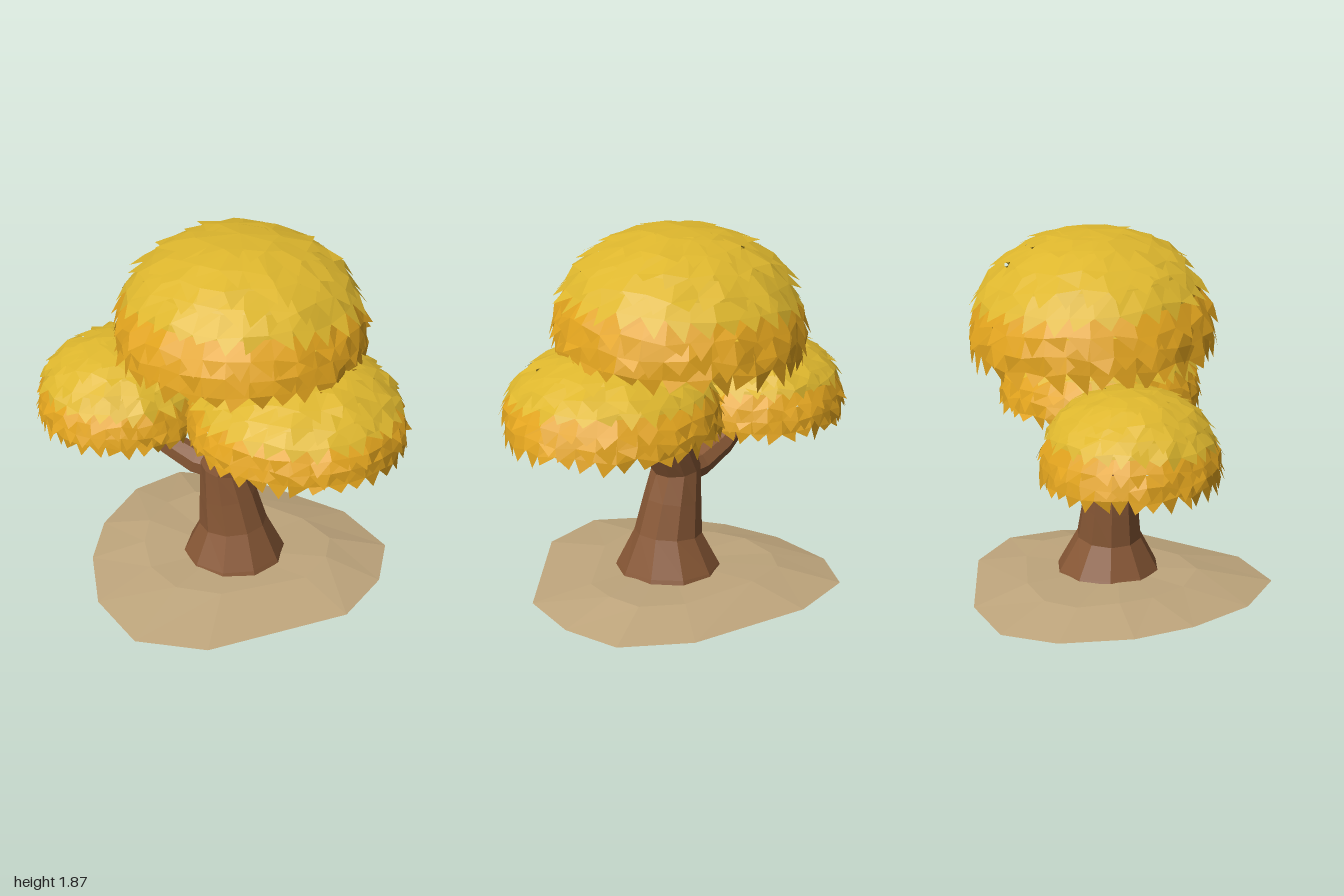
import * as THREE from 'three';

const flat = (name, color, side = THREE.FrontSide) => {
  const m = new THREE.MeshStandardMaterial({ color, flatShading: true, side });
  m.name = name;
  return m;
};

// Small seeded random generator, returns -1..1
function seeded(seed) {
  let s = seed;
  return () => {
    s = (s * 16807) % 2147483647;
    return (s / 2147483647) * 2 - 1;
  };
}

// Unindexed geometry from a list of triangle corners
function facets(points) {
  const g = new THREE.BufferGeometry().setFromPoints(points);
  g.computeVertexNormals();
  return g;
}

function part(name, geometry, material) {
  const m = new THREE.Mesh(geometry, material);
  m.name = name;
  return m;
}

// Faceted limb through sections [x, y, z, radius across, radius in z]
function limb(sections, sides) {
  const centres = sections.map(s => new THREE.Vector3(s[0], s[1], s[2]));
  const zAxis = new THREE.Vector3(0, 0, 1);
  const rings = sections.map((s, i) => {
    const next = centres[Math.min(i + 1, centres.length - 1)];
    const across = next.clone().sub(centres[Math.max(i - 1, 0)]).cross(zAxis).normalize();
    return Array.from({ length: sides }, (_, j) => {
      const a = ((j + 0.3) / sides) * Math.PI * 2;
      return centres[i].clone()
        .addScaledVector(across, Math.cos(a) * s[3])
        .addScaledVector(zAxis, Math.sin(a) * s[4]);
    });
  });
  const p = [];
  for (let j = 0; j < sides; j++) {
    const k = (j + 1) % sides;
    for (let i = 0; i < rings.length - 1; i++) {
      const a = rings[i][j], b = rings[i + 1][j], c = rings[i + 1][k], d = rings[i][k];
      p.push(a, b, c, a, c, d);
    }
    const last = rings.length - 1;
    p.push(centres[last], rings[last][k], rings[last][j]);
    p.push(centres[0], rings[0][j], rings[0][k]);
  }
  return facets(p);
}

// Full-shouldered unit dome: radius at a polar angle in radians
const domeRadius = t => Math.pow(Math.sin(t), 0.88);

// One jagged skirt of leaves on the dome, between two polar angles (degrees)
function leafSkirt(from, to, faces, turn, rand) {
  const teeth = faces * 2;
  const sector = (Math.PI * 2) / faces;
  const step = (Math.PI * 2) / teeth;
  const at = (polar, a, flare) => {
    const t = THREE.MathUtils.degToRad(polar);
    const offset = (((a % sector) + sector) % sector) - sector / 2;
    const r = domeRadius(t) * flare * Math.cos(sector / 2) / Math.cos(offset) * 1.01;
    const y = Math.cos(t) * (1 + (flare - 1) * Math.sin(t));
    return new THREE.Vector3(r * Math.cos(a + turn), y, r * Math.sin(a + turn));
  };
  const top = [], notch = [];
  for (let i = 0; i < teeth; i++) {
    top.push(at(from, i * step, 0.985));
    notch.push(at(to - 8 + rand() * 2, i * step, 1.025 + rand() * 0.02));
  }
  const p = [];
  for (let i = 0; i < teeth; i++) {
    const k = (i + 1) % teeth;
    const tip = at(to + rand() * 2.5, (i + 0.5 + rand() * 0.4) * step, 1.06 + rand() * 0.03);
    p.push(top[i], top[k], notch[k], top[i], notch[k], notch[i], notch[i], notch[k], tip);
  }
  return facets(p);
}

export function createModel() {
  const soil = flat('soil', 0xbea57c);
  const bark = flat('bark', 0x875735);
  const yellow = flat('yellow leaves', 0xddb62d, THREE.DoubleSide);
  const orange = flat('orange leaves', 0xe2a41e, THREE.DoubleSide);

  const tree = new THREE.Group();
  tree.name = 'tree';

  // Low irregular mound
  const outline = [[0.88, -0.12], [0.83, -0.43], [0.53, -0.66], [-0.11, -0.79], [-0.48, -0.72], [-0.65, -0.47],
    [-0.69, -0.1], [-0.62, 0.22], [-0.44, 0.56], [-0.14, 0.79], [0.23, 0.73], [0.8, 0.22]];
  const rim = outline.map(([x, z]) => new THREE.Vector3(x, 0, z));
  const shoulder = outline.map(([x, z], i) =>
    new THREE.Vector3(0.06 + (x - 0.06) * 0.64, 0.078 - (i % 3) * 0.006, z * 0.57 - 0.05));
  const crown = new THREE.Vector3(0.06, 0.08, 0), under = new THREE.Vector3(0.06, 0, 0);
  const mound = [];
  rim.forEach((a, i) => {
    const k = (i + 1) % rim.length;
    mound.push(a, rim[k], shoulder[k], a, shoulder[k], shoulder[i]);
    mound.push(crown, shoulder[i], shoulder[k], under, rim[k], a);
  });
  tree.add(part('mound', facets(mound), soil));

  // Trunk leaning into the left canopy, with two branches
  tree.add(part('trunk', limb([
    [0.095, 0.03, -0.04, 0.29, 0.29], [0.095, 0.09, -0.04, 0.26, 0.265],
    [0.09, 0.26, -0.035, 0.18, 0.17], [0.06, 0.43, -0.035, 0.15, 0.15],
    [0.035, 0.6, -0.035, 0.12, 0.135], [0.12, 0.77, -0.055, 0.112, 0.122],
    [0.23, 0.93, -0.065, 0.098, 0.112], [0.4, 1.06, -0.065, 0.08, 0.085]], 10), bark));
  tree.add(part('sideBranch', limb([
    [0.03, 0.57, -0.04, 0.08, 0.08], [-0.12, 0.58, -0.045, 0.074, 0.075],
    [-0.28, 0.65, -0.055, 0.066, 0.068], [-0.43, 0.78, -0.07, 0.057, 0.057],
    [-0.53, 0.95, -0.085, 0.04, 0.04]], 7), bark));
  tree.add(part('upperBranch', limb([
    [0.32, 1.0, -0.065, 0.07, 0.07], [0.38, 1.2, -0.12, 0.065, 0.065],
    [0.33, 1.5, -0.2, 0.045, 0.045]], 7), bark));

  // Domed canopies of overlapping jagged skirts: [start angle, tip angle, facets]
  const skirts = [[0, 24, 6], [13, 37, 9], [28, 50, 11], [42, 62, 13],
    [55, 74, 15], [67, 86, 17], [78, 96, 17], [86, 105, 17]];
  const baseAngle = THREE.MathUtils.degToRad(78);
  const canopy = (name, centre, size, tilt, seed) => {
    const g = new THREE.Group();
    g.name = name;
    g.position.set(...centre);
    g.scale.set(...size);
    g.rotation.set(tilt[0], 0, tilt[1]);
    // Inner dome, closed by a recessed underside
    g.add(part('core', new THREE.SphereGeometry(0.93, 16, 6, 0, Math.PI * 2, 0, baseAngle), yellow));
    const base = new THREE.CircleGeometry(0.94 * Math.sin(baseAngle), 16).rotateX(Math.PI / 2);
    base.translate(0, 0.93 * Math.cos(baseAngle), 0);
    g.add(part('underside', base, orange));
    const rand = seeded(seed);
    skirts.forEach(([from, to, faces], i) => {
      const skirt = part('leafSkirt', leafSkirt(from, to, faces, i * 1.3 + seed, rand), i > 4 ? orange : yellow);
      // Upper skirts sit a little askew
      if (i > 0 && i < 5) skirt.rotation.set(rand() * 0.05, 0, rand() * 0.05);
      g.add(skirt);
    });
    tree.add(g);
  };
  canopy('topCanopy', [0.095, 1.365, -0.12], [0.61, 0.51, 0.595], [-0.04, 0.03], 1717);
  canopy('leftCanopy', [0.435, 0.965, 0], [0.53, 0.375, 0.51], [0, 0], 4141);
  canopy('rightCanopy', [-0.545, 0.845, -0.085], [0.43, 0.37, 0.42], [0, 0], 7373);

  return tree;
}
